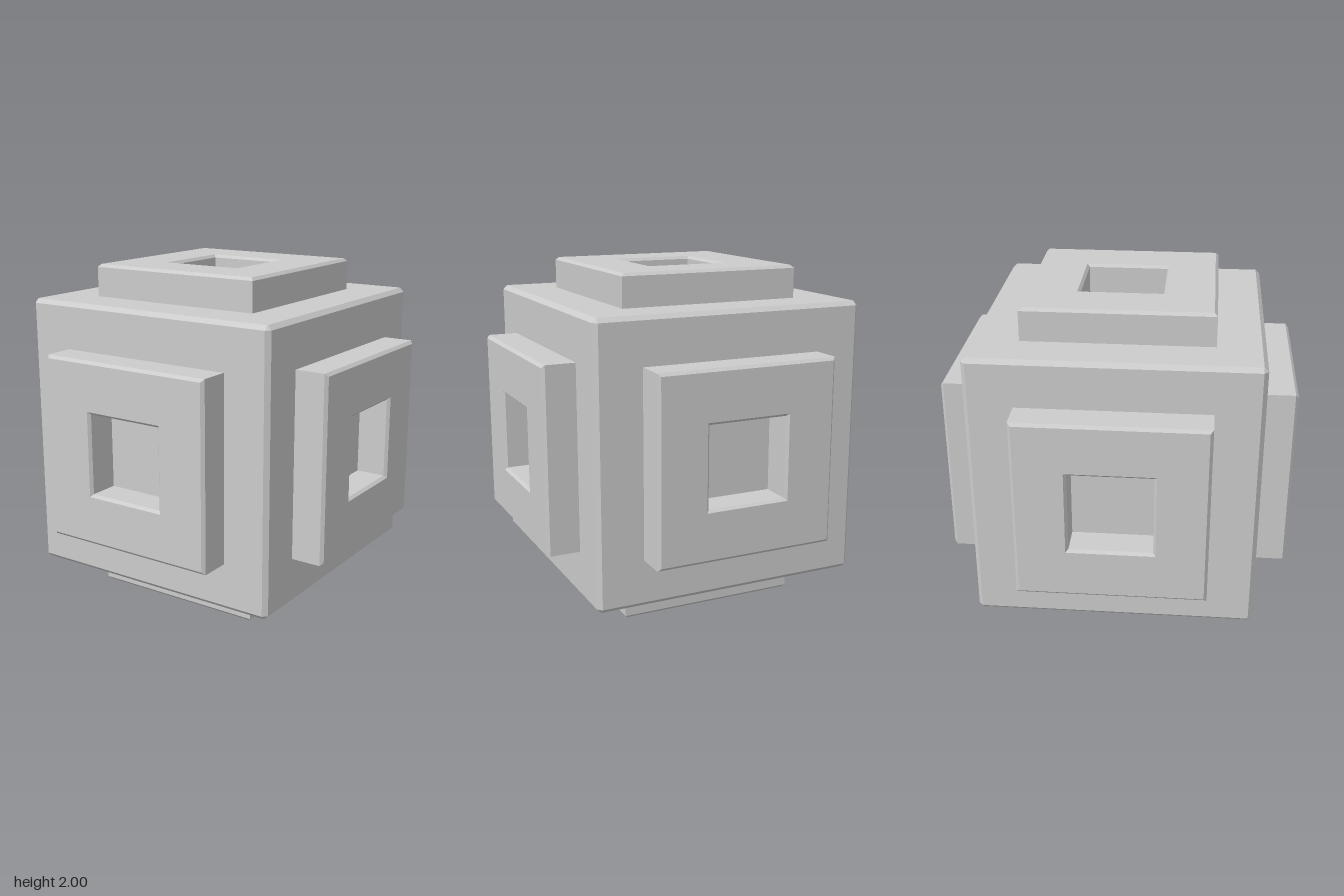
import * as THREE from 'three';
import { ConvexGeometry } from 'three/addons/geometries/ConvexGeometry.js';

const CORE = 0.81;   // half side of the core
const BEVEL = 0.025; // core edge chamfer

export function createModel() {
  const model = new THREE.Group();
  const material = new THREE.MeshStandardMaterial({ color: 0xcccccc, flatShading: true });

  // Everything is built around the cube's centre
  const cube = new THREE.Group();
  cube.name = 'cube';
  cube.position.y = 1;
  model.add(cube);

  // Core: a cube with all edges chamfered, the hull of three points per corner
  const corners = [];
  const inner = CORE - BEVEL;
  for (const x of [-1, 1]) for (const y of [-1, 1]) for (const z of [-1, 1]) {
    corners.push(
      new THREE.Vector3(x * CORE, y * inner, z * inner),
      new THREE.Vector3(x * inner, y * CORE, z * inner),
      new THREE.Vector3(x * inner, y * inner, z * CORE));
  }
  const core = new THREE.Mesh(new ConvexGeometry(corners), material);
  core.name = 'core';
  cube.add(core);

  // Square frame plate: a four-sided lathe of [half width, height], outside to inside
  const profile = [
    [0.538, CORE], [0.538, 0.983], [0.521, 1],
    [0.25, 1], [0.235, 0.983], [0.235, CORE],
  ].map(([halfWidth, height]) => new THREE.Vector2(halfWidth * Math.SQRT2, height));
  const plateGeometry = new THREE.LatheGeometry(profile, 4, Math.PI / 4).toNonIndexed();
  plateGeometry.computeVertexNormals();

  // One plate on each face
  const up = new THREE.Vector3(0, 1, 0);
  const faces = {
    topPlate: [0, 1, 0], bottomPlate: [0, -1, 0],
    leftPlate: [1, 0, 0], rightPlate: [-1, 0, 0],
    frontPlate: [0, 0, 1], backPlate: [0, 0, -1],
  };
  for (const [name, direction] of Object.entries(faces)) {
    const plate = new THREE.Mesh(plateGeometry, material);
    plate.name = name;
    plate.quaternion.setFromUnitVectors(up, new THREE.Vector3(...direction));
    cube.add(plate);
  }

  return model;
}
